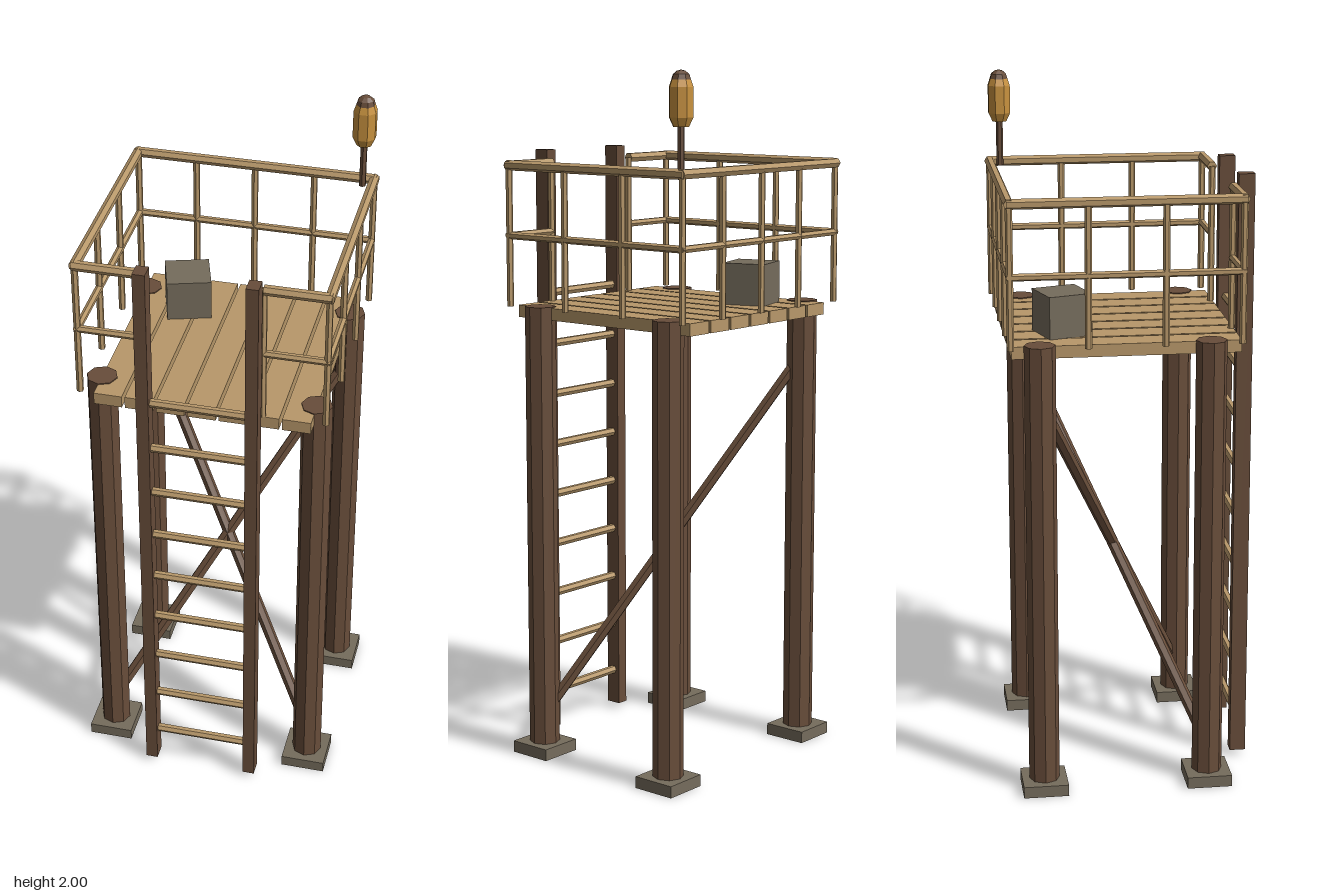
import * as THREE from 'three';

const mat = (name, color) => {
  const m = new THREE.MeshStandardMaterial({ color, flatShading: true });
  m.name = name;
  return m;
};

export function createModel() {
  const root = new THREE.Group();
  root.name = 'watchtower';
  const darkWood = mat('dark wood', 0x684d3a);
  const lightWood = mat('light wood', 0xb8986a);
  const stone = mat('grey stone', 0x756c5c);
  const amber = mat('amber glass', 0xc8923f);

  const add = (name, geometry, material, x, y, z) => {
    const mesh = new THREE.Mesh(geometry, material);
    mesh.name = name;
    mesh.position.set(x, y, z);
    root.add(mesh);
    return mesh;
  };
  const box = (name, material, w, h, d, x, y, z) =>
    add(name, new THREE.BoxGeometry(w, h, d), material, x, y, z);
  // Faceted pole between two points
  const pole = (name, material, r, a, b, sides = 6) => {
    const p = new THREE.Vector3(...a), q = new THREE.Vector3(...b);
    const dir = q.clone().sub(p), mid = p.clone().lerp(q, 0.5);
    const mesh = add(name, new THREE.CylinderGeometry(r, r, dir.length(), sides), material, mid.x, mid.y, mid.z);
    mesh.quaternion.setFromUnitVectors(new THREE.Vector3(0, 1, 0), dir.normalize());
    return mesh;
  };

  const legX = 0.305, legFront = 0.215, legBack = -0.262;
  const deckY = 1.325;

  // Legs on square footings, with crossing diagonal braces
  for (const s of [-1, 1]) {
    for (const z of [legFront, legBack]) {
      box('footing', stone, 0.13, 0.034, 0.13, s * legX, 0.017, z);
      pole('leg', darkWood, 0.044, [s * legX, 0.02, z], [s * legX, deckY + 0.003, z], 8);
    }
    pole('brace', darkWood, 0.017, [s * legX, 0.115, legFront], [-s * legX, 1.165, legBack]);
  }

  // Deck planks
  for (let i = -3; i <= 3; i++) {
    box('plank', lightWood, 0.08, 0.035, 0.64, i * 0.0885, deckY - 0.0175, -0.02);
  }

  // Railing, open at the ladder
  const rx = 0.345, zf = 0.294, zb = -0.345, gap = 0.17;
  for (const [y, r] of [[1.727, 0.0145], [1.528, 0.0105]]) {
    const e = 0.007;
    pole('backRail', lightWood, r, [-rx - e, y, zb], [rx + e, y, zb]);
    for (const s of [-1, 1]) {
      pole('sideRail', lightWood, r, [s * rx, y, zb - e], [s * rx, y, zf + e]);
      pole('frontRail', lightWood, r, [s * (rx + e), y, zf], [s * gap, y, zf]);
    }
  }
  const post = (x, z) => pole('railPost', lightWood, 0.01, [x, deckY, z], [x, 1.727, z]);
  for (let i = -2; i <= 2; i++) post(i * rx / 2, zb);
  for (const s of [-1, 1]) {
    for (let i = 1; i <= 3; i++) post(s * rx, zb + (zf - zb) * i / 3);
    post(s * gap, zf);
  }

  // Ladder
  for (const s of [-1, 1]) {
    box('ladderRail', darkWood, 0.035, 1.745, 0.046, s * 0.152, 0.8905, 0.333);
  }
  for (let i = 0; i < 9; i++) {
    const y = 0.125 + i * 0.1523;
    pole('rung', lightWood, 0.0125, [-0.15, y, 0.333], [0.15, y, 0.333]);
  }

  // Crate on the deck
  box('crate', stone, 0.128, 0.12, 0.128, -0.16, deckY + 0.06, -0.185).rotation.y = 0.3;

  // Lantern on the back corner
  const lx = 0.316, lz = -0.316;
  const lathe = (points) =>
    new THREE.LatheGeometry(points.map(([r, y]) => new THREE.Vector2(r, y)), 8, Math.PI / 8);
  pole('lanternPole', darkWood, 0.01, [lx, 1.72, lz], [lx, 1.86, lz]);
  add('lanternGlass', lathe([[0, 1.85], [0.022, 1.85], [0.034, 1.875], [0.034, 1.955], [0.026, 1.978], [0, 1.978]]), amber, lx, 0, lz);
  add('lanternCap', lathe([[0, 1.972], [0.028, 1.972], [0.023, 1.988], [0.012, 1.997], [0, 2]]), darkWood, lx, 0, lz);

  return root;
}
